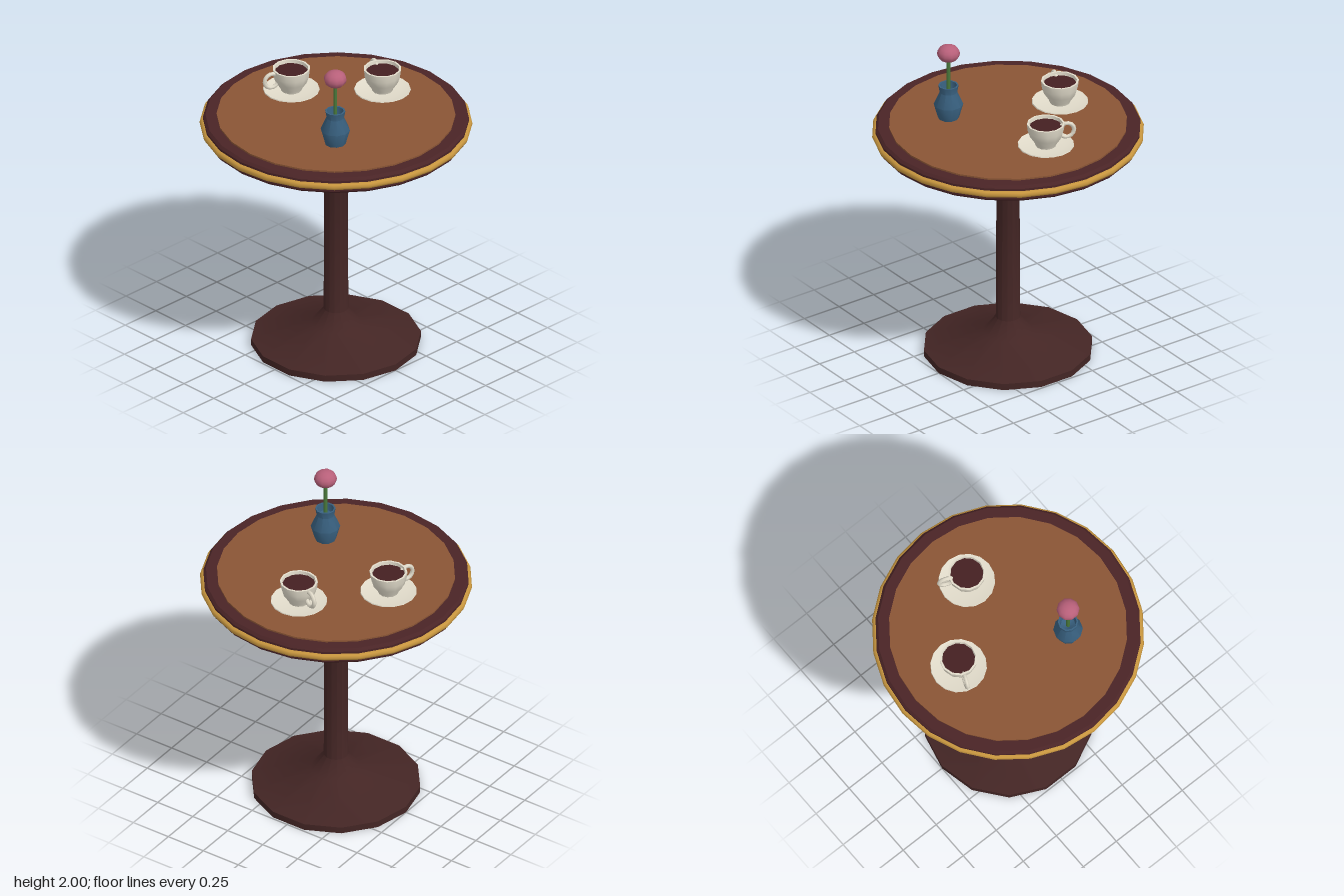
import * as THREE from 'three';
import { toCreasedNormals } from 'three/addons/utils/BufferGeometryUtils.js';

const paint = (name, color) => {
  const m = new THREE.MeshStandardMaterial({ color });
  m.name = name;
  return m;
};

export function createModel() {
  const darkWood = paint('dark wood', 0x432524);
  const edgeWood = paint('table edge wood', 0x4a2426);
  const topWood = paint('table top wood', 0x8a5535);
  const brass = paint('brass', 0xc9973f);
  const china = paint('china', 0xe2dccb);
  const coffeeBrown = paint('coffee', 0x452022);
  const glaze = paint('blue glaze', 0x38607f);
  const green = paint('stem green', 0x4a7a3c);
  const pink = paint('petal pink', 0xb8607a);

  const model = new THREE.Group();
  model.name = 'cafeTable';

  const add = (parent, name, geometry, material, x = 0, y = 0, z = 0) => {
    const mesh = new THREE.Mesh(geometry, material);
    mesh.name = name;
    mesh.position.set(x, y, z);
    parent.add(mesh);
    return mesh;
  };
  // Turned part from [radius, height] pairs, with a corner on the x axis
  const turned = (profile, sides, crease = 0.7) => {
    const points = profile.map(([r, y]) => new THREE.Vector2(r, y));
    const g = new THREE.LatheGeometry(points, sides).rotateY(Math.PI / 2);
    return toCreasedNormals(g, crease);
  };

  // Pedestal with flared foot and head
  add(model, 'pedestal', turned([
    [0, 0], [0.5, 0], [0.5, 0.04], [0.15, 0.127], [0.073, 0.225],
    [0.068, 1.265], [0.15, 1.363], [0.345, 1.415],
  ], 14), darkWood);

  // Round top with bevelled rim, inlay and brass band
  add(model, 'tableTop', turned([
    [0, 1.41], [0.765, 1.41], [0.78, 1.425], [0.78, 1.495], [0.765, 1.51], [0, 1.51],
  ], 24), edgeWood);
  add(model, 'topInlay', turned([[0.7, 1.505], [0.7, 1.52], [0, 1.52]], 24), topWood);
  add(model, 'brassBand', new THREE.TorusGeometry(0.778, 0.022, 8, 24).rotateX(Math.PI / 2),
    brass, 0, 1.46, 0);

  // Cup, saucer and coffee, built on y = 0; the handle points along local +x
  const addCup = (name, x, z, handleX, handleZ) => {
    const cup = new THREE.Group();
    cup.name = name;
    cup.position.set(x, 1.52, z);
    add(cup, 'saucer', turned([
      [0, 0], [0.12, 0], [0.167, 0.018], [0.165, 0.024], [0.11, 0.014], [0, 0.014],
    ], 16), china);
    add(cup, 'cupBody', turned([
      [0, 0.014], [0.06, 0.014], [0.065, 0.03], [0.095, 0.075], [0.107, 0.115],
      [0.112, 0.158], [0.1, 0.158], [0.094, 0.115],
    ], 12), china);
    add(cup, 'coffee', new THREE.CircleGeometry(0.098, 12).rotateX(-Math.PI / 2),
      coffeeBrown, 0, 0.138, 0);
    const pivot = new THREE.Group();
    pivot.name = 'handlePivot';
    pivot.rotation.y = Math.atan2(-handleZ, handleX);
    add(pivot, 'handle', new THREE.TorusGeometry(0.045, 0.013, 6, 14), china, 0.125, 0.1, 0);
    cup.add(pivot);
    model.add(cup);
  };
  addCup('leftCup', -0.375, 0, -0.36, 0.93);
  addCup('backCup', 0, -0.38, -0.92, -0.39);

  // Vase with a single flower
  const vase = new THREE.Group();
  vase.name = 'vaseWithFlower';
  vase.position.set(0.25, 0, 0.25);
  add(vase, 'vase', turned([
    [0, 1.52], [0.062, 1.52], [0.087, 1.61], [0.052, 1.69], [0.06, 1.735],
    [0.05, 1.735], [0.043, 1.69], [0, 1.66],
  ], 10), glaze);
  add(vase, 'stem', new THREE.CylinderGeometry(0.011, 0.011, 0.26, 6), green, 0, 1.79, 0);
  add(vase, 'blossom', new THREE.SphereGeometry(0.068, 10, 8).scale(1, 0.78, 1),
    pink, 0, 1.947, 0);
  model.add(vase);

  return model;
}
